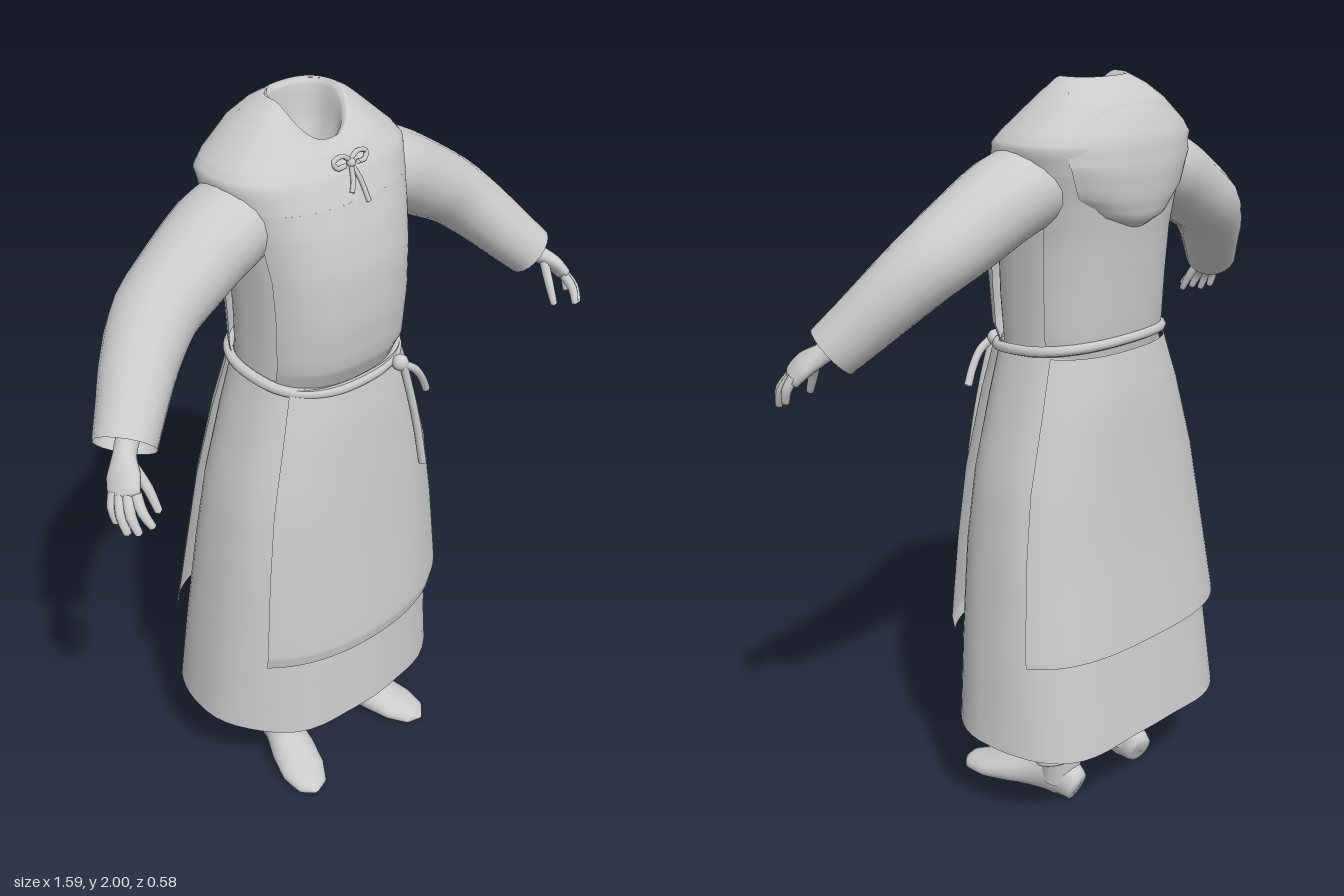
import * as THREE from 'three';

const cloth = new THREE.MeshStandardMaterial({ color: 0xcbcbcb, side: THREE.DoubleSide });
cloth.name = 'pale grey';
const V = (x, y, z) => new THREE.Vector3(x, y, z);

// Smooth skin over rows of points.
function skin(rows, closed) {
  const n = rows[0].length, pos = [], idx = [];
  rows.forEach(r => r.forEach(p => pos.push(p.x, p.y, p.z)));
  for (let i = 0; i < rows.length - 1; i++) {
    for (let j = 0; j < (closed ? n : n - 1); j++) {
      const k = (j + 1) % n, a = i * n + j, b = i * n + k, c = a + n, d = b + n;
      idx.push(a, c, b, b, c, d);
    }
  }
  const g = new THREE.BufferGeometry();
  g.setAttribute('position', new THREE.Float32BufferAttribute(pos, 3));
  g.setIndex(idx);
  g.computeVertexNormals();
  return g;
}

// Point on a rounded-square body ring [y, halfWidth, frontZ, backZ, frontDrop].
// Toward the hem the back grows squarer and the front rounder.
function ringPoint([y, rx, zf, zb, drop = 0], a, grow = 0) {
  const c = Math.cos(a), s = Math.sin(a), low = THREE.MathUtils.clamp((1.3 - y) / 0.8, 0, 1);
  const e = 2 / (s < 0 ? 2.5 + 0.35 * low : 2.45 - 0.32 * low);
  const pw = v => Math.sign(v) * Math.abs(v) ** e;
  return V((rx + grow) * pw(c), y - drop * Math.max(0, s) ** 1.3,
    (zf + zb) / 2 + ((zf - zb) / 2 + grow) * pw(s));
}

// Interpolates ring tables.
function refine(rings, steps = 3) {
  const out = [];
  for (let i = 0; i < rings.length - 1; i++) {
    for (let q = 0; q < steps; q++) {
      out.push([0, 1, 2, 3, 4].map(m => THREE.MathUtils.lerp(rings[i][m] ?? 0, rings[i + 1][m] ?? 0, q / steps)));
    }
  }
  out.push(rings[rings.length - 1]);
  return out;
}

// Full body ring loft, or an arc of it between a0 and a1.
function bodyLoft(rings, grow = 0, a0 = 0, a1 = Math.PI * 2) {
  const closed = a1 - a0 > 6.28, n = closed ? 56 : 28;
  return skin(refine(rings).map(r =>
    Array.from({ length: closed ? n : n + 1 }, (_, j) => ringPoint(r, a0 + (a1 - a0) * j / n, grow))), closed);
}

// Tapered tube: stations are [x, y, z, radiusAcross, radiusUp].
function limb(stations, ref = V(0, 1, 0), sides = 20, steps = 3) {
  const curve = new THREE.CatmullRomCurve3(stations.map(s => V(s[0], s[1], s[2])));
  const last = stations.length - 1, rows = [];
  for (let i = 0; i <= last * steps; i++) {
    const t = i / (last * steps), f = i / steps, k = Math.min(last - 1, Math.floor(f));
    const rad = m => THREE.MathUtils.lerp(stations[k][m] ?? stations[k][3], stations[k + 1][m] ?? stations[k + 1][3], f - k);
    const p = curve.getPoint(t), T = curve.getTangent(t);
    const u = V(0, 0, 0).crossVectors(ref, T).normalize(), v = V(0, 0, 0).crossVectors(u, T);
    rows.push(Array.from({ length: sides }, (_, j) => {
      const a = j / sides * Math.PI * 2;
      return p.clone().addScaledVector(u, rad(3) * Math.cos(a)).addScaledVector(v, rad(4) * Math.sin(a));
    }));
  }
  return skin(rows, true);
}

function cord(points, r, closed = false) {
  return new THREE.TubeGeometry(new THREE.CatmullRomCurve3(points, closed), points.length * 6, r, 8, closed);
}

export function createModel() {
  const model = new THREE.Group();
  const add = (name, geo, parent = model) => {
    const m = new THREE.Mesh(geo, cloth);
    m.name = name;
    parent.add(m);
    return m;
  };

  // Under-robe: flared skirt with soft folds at the hem, and tunic body
  const skirt = add('underSkirt', bodyLoft([
    [0.27, 0.395, 0.274, -0.284], [0.52, 0.375, 0.258, -0.25], [0.8, 0.345, 0.235, -0.215],
    [1.0, 0.313, 0.215, -0.195], [1.2, 0.255, 0.195, -0.178], [1.34, 0.212, 0.178, -0.162]]));
  const sp = skirt.geometry.attributes.position;
  for (let i = 0; i < sp.count; i++) {
    const a = Math.atan2(sp.getZ(i), sp.getX(i)), low = Math.max(0, 1 - (sp.getY(i) - 0.27) / 0.5);
    const k = 1 + 0.012 * low * Math.cos(8 * a);
    sp.setXYZ(i, sp.getX(i) * k, sp.getY(i) + 0.008 * low * Math.cos(4 * a), sp.getZ(i) * k);
  }
  skirt.geometry.computeVertexNormals();
  add('tunicBody', bodyLoft([
    [1.32, 0.205, 0.17, -0.155], [1.45, 0.205, 0.185, -0.16], [1.6, 0.21, 0.185, -0.165], [1.8, 0.225, 0.145, -0.18]]));

  // Long over-panels hanging front and back from the belt
  const apron = [
    [0.52, 0.385, 0.268, -0.262], [0.56, 0.388, 0.275, -0.262], [0.8, 0.357, 0.25, -0.228],
    [1.0, 0.322, 0.23, -0.208], [1.2, 0.262, 0.207, -0.19], [1.33, 0.218, 0.183, -0.167]];
  const backApron = apron.map((r, i) => i ? r : [0.545, 0.387, 0.27, -0.264]);
  add('frontApron', bodyLoft(apron, 0.012, 0.64, Math.PI - 0.64));
  add('backApron', bodyLoft(backApron, 0.01, Math.PI + 0.48, Math.PI * 2 - 0.48));

  // Upper panels, open under the arms
  const chest = [
    [1.32, 0.212, 0.18, -0.165], [1.38, 0.222, 0.21, -0.175], [1.5, 0.226, 0.22, -0.182],
    [1.62, 0.232, 0.215, -0.19], [1.72, 0.246, 0.193, -0.202], [1.79, 0.262, 0.168, -0.212]];
  add('chestPanel', bodyLoft(chest, 0, 0.38, Math.PI - 0.38));
  add('backPanel', bodyLoft(chest, 0, Math.PI + 0.4, Math.PI * 2 - 0.4));

  // Shoulder yoke rising to a collar that turns into the hollow neck
  add('shoulderYoke', bodyLoft([
    [1.79, 0.262, 0.168, -0.212], [1.85, 0.277, 0.14, -0.212], [1.88, 0.254, 0.122, -0.203, 0.006],
    [1.94, 0.185, 0.106, -0.18, 0.045], [1.975, 0.14, 0.09, -0.145, 0.072], [2.0, 0.095, 0.068, -0.105, 0.09],
    [1.985, 0.084, 0.056, -0.092, 0.085], [1.9, 0.07, 0.05, -0.08, 0.04], [1.82, 0.04, 0.03, -0.05],
    [1.8, 0.001, -0.009, -0.011]]));

  // Hood lying on the upper back, narrowing to a rounded point
  const hood = [[1.64, 0.08, -0.185], [1.67, 0.14, -0.222], [1.72, 0.185, -0.233], [1.79, 0.21, -0.235],
    [1.86, 0.215, -0.225], [1.92, 0.18, -0.195], [1.97, 0.14, -0.155], [1.998, 0.09, -0.11]];
  add('hood', skin(refine(hood).map(([y, w, z]) => Array.from({ length: 25 }, (_, j) => {
    const u = j / 12 - 1;
    return V(w * u, y + 0.02 * u * u * (y < 1.8 ? 1 : 0), z + 0.065 * Math.abs(u) ** 2.4);
  })), false));

  // Rope belt, knot and hanging ends
  const beltPts = Array.from({ length: 32 }, (_, j) => {
    const a = j / 32 * Math.PI * 2, p = ringPoint([1.335, 0.218, 0.192, -0.172], a);
    p.y -= 0.025 * Math.sin(a);
    return p;
  });
  add('belt', cord(beltPts, 0.014, true));
  const knot = add('beltKnot', new THREE.SphereGeometry(0.022, 16, 12));
  knot.position.set(0.125, 1.31, 0.2);
  add('longBeltEnd', cord([V(0.125, 1.31, 0.21), V(0.15, 1.2, 0.222), V(0.17, 1.1, 0.23), V(0.187, 0.99, 0.238)], 0.011));
  add('shortBeltEnd', cord([V(0.125, 1.31, 0.21), V(0.165, 1.28, 0.217), V(0.195, 1.24, 0.214), V(0.22, 1.195, 0.207)], 0.011));

  // Small bow at the throat
  const bow = new THREE.Group();
  bow.name = 'neckBow';
  model.add(bow);
  for (const s of [1, -1]) {
    add('bowLoop', cord([V(0, 1.875, 0.132), V(s * 0.025, 1.89, 0.13), V(s * 0.052, 1.883, 0.131),
      V(s * 0.045, 1.868, 0.136), V(s * 0.02, 1.868, 0.138)], 0.006), bow);
    add('bowEnd', cord([V(0, 1.87, 0.135), V(s * 0.012 + 0.002, 1.83, 0.154),
      V(s * 0.022, s > 0 ? 1.78 : 1.81, s > 0 ? 0.175 : 0.163)], 0.006), bow);
  }
  const bowKnot = add('bowKnot', new THREE.SphereGeometry(0.011, 12, 8), bow);
  bowKnot.position.set(0, 1.87, 0.136);

  for (const s of [1, -1]) {
    const side = s > 0 ? 'left' : 'right';
    const mir = st => st.map(([x, ...r]) => [x * s, ...r]);

    // Sleeve, open at the cuff
    add(side + 'Sleeve', limb(mir([
      [0.2, 1.755, -0.025, 0.118, 0.105], [0.28, 1.73, -0.018, 0.122, 0.105], [0.39, 1.67, -0.007, 0.112, 0.1],
      [0.49, 1.61, 0.01, 0.104, 0.092], [0.57, 1.54, 0.05, 0.092, 0.084], [0.64, 1.465, 0.1, 0.081, 0.076],
      [0.693, 1.408, 0.14, 0.074, 0.07]])));

    // Hand: wrist and palm, then curled fingers and thumb
    const hand = new THREE.Group();
    hand.name = side + 'Hand';
    model.add(hand);
    add('palm', limb(mir([[0.63, 1.475, 0.09, 0.03, 0.028], [0.67, 1.435, 0.13, 0.028, 0.027], [0.71, 1.4, 0.16, 0.029, 0.024],
      [0.737, 1.375, 0.19, 0.043, 0.022], [0.756, 1.345, 0.214, 0.042, 0.018], [0.76, 1.337, 0.22, 0.012, 0.006]]), V(0.6 * s, 0.8, 0), 16), hand);
    const fingers = [
      [[0.738, 1.352, 0.232], [0.745, 1.318, 0.262], [0.735, 1.285, 0.283]],
      [[0.752, 1.35, 0.222], [0.768, 1.312, 0.25], [0.764, 1.274, 0.27]],
      [[0.764, 1.348, 0.208], [0.78, 1.31, 0.23], [0.779, 1.27, 0.248]],
      [[0.768, 1.35, 0.193], [0.783, 1.318, 0.204], [0.782, 1.284, 0.214]],
      [[0.707, 1.385, 0.185], [0.695, 1.335, 0.218], [0.69, 1.285, 0.245]]];
    fingers.forEach(([a, b, c], i) => {
      const tip = c.map((v, k) => v + (v - b[k]) * 0.12);
      add(i < 4 ? 'finger' : 'thumb', limb(mir([[...a, 0.0135], [...b, 0.0125], [...c, 0.0095], [...tip, 0.001]]), V(s, 0, 0.3), 10), hand);
    });

    // Leg wrapping, shoe and ankle straps
    add(side + 'Leg', limb(mir([[0.135, 0.06, -0.045, 0.055, 0.056], [0.135, 0.13, -0.045, 0.056, 0.062],
      [0.14, 0.2, -0.042, 0.058, 0.066], [0.147, 0.3, -0.038, 0.064, 0.07], [0.15, 0.6, -0.02, 0.085, 0.085]]), V(0, 0, 1)));
    add(side + 'Shoe', limb(mir([[0.131, 0.05, -0.114, 0.003, 0.003], [0.132, 0.052, -0.11, 0.036, 0.047],
      [0.135, 0.072, -0.05, 0.05, 0.07], [0.148, 0.066, 0.03, 0.054, 0.064], [0.174, 0.05, 0.11, 0.066, 0.048],
      [0.198, 0.036, 0.18, 0.066, 0.034], [0.214, 0.027, 0.238, 0.044, 0.023], [0.22, 0.023, 0.262, 0.003, 0.003]])));
    for (const [y, r, tilt] of [[0.125, 0.058, 0.35], [0.175, 0.06, -0.1], [0.255, 0.062, 0.05]]) {
      const strap = add(side + 'AnkleStrap', new THREE.TorusGeometry(r, 0.007, 8, 28));
      strap.position.set(0.139 * s, y, -0.043);
      strap.rotation.x = Math.PI / 2 + tilt;
      strap.scale.y = 1.1;
    }
    const buckle = add(side + 'StrapKnot', new THREE.SphereGeometry(0.013, 10, 8));
    buckle.position.set(0.138 * s, 0.17, -0.11);
  }
  return model;
}
